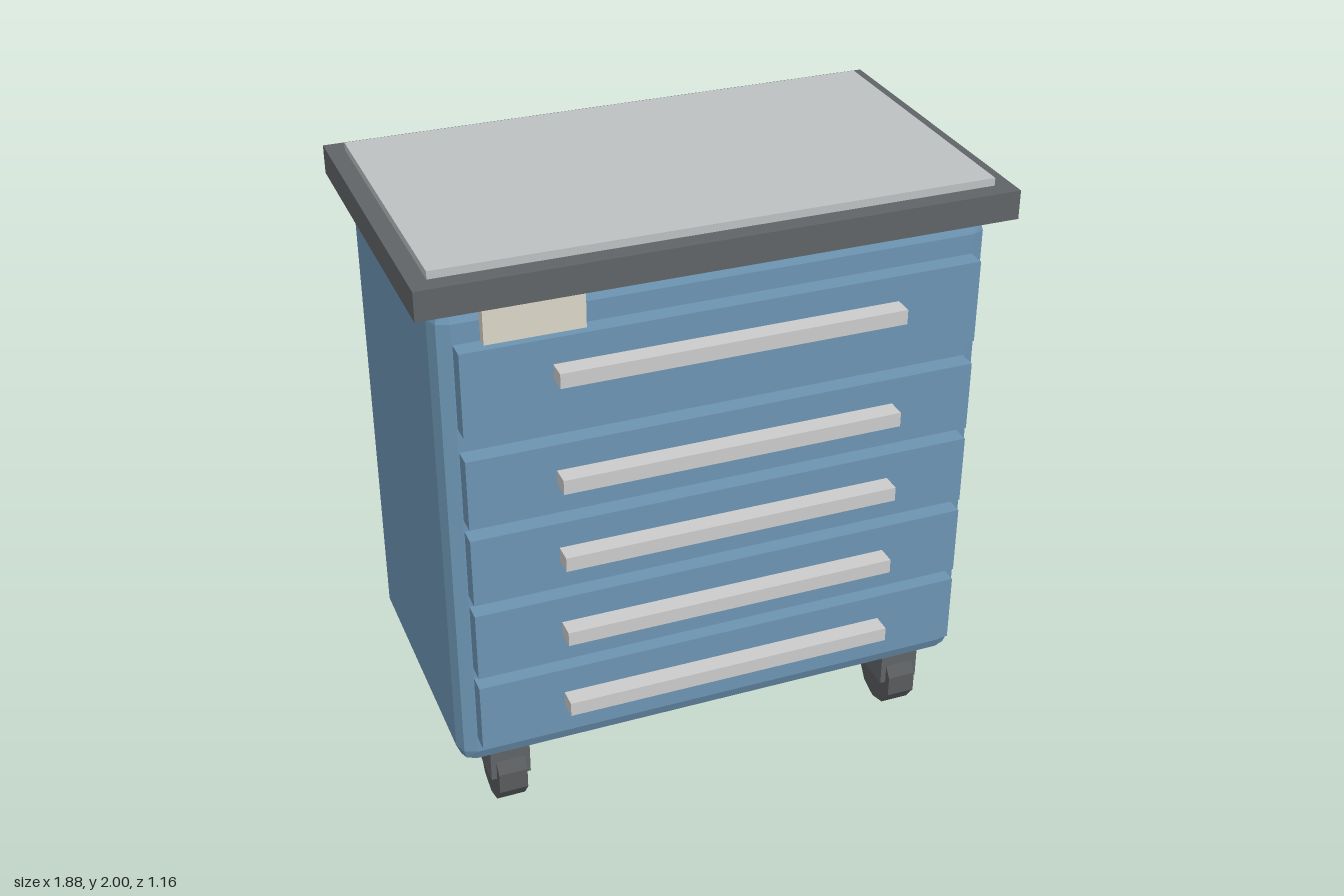
import * as THREE from 'three';
import { RoundedBoxGeometry } from 'three/addons/geometries/RoundedBoxGeometry.js';

const material = (color) => new THREE.MeshStandardMaterial({ color, flatShading: true });

export function createModel() {
  const model = new THREE.Group();
  model.name = 'toolCabinet';

  const blue = material(0x6c94b2);
  const grey = material(0xcccccc);
  const matGrey = material(0xbcc0c2);
  const dark = material(0x606467);
  const rubber = material(0x585a5c);
  const cream = material(0xdad5c8);

  // Adds a mesh to a parent under a plain name
  const add = (parent, name, geometry, mat, x, y, z) => {
    const mesh = new THREE.Mesh(geometry, mat);
    mesh.name = name;
    mesh.position.set(x, y, z);
    parent.add(mesh);
    return mesh;
  };
  // Box given by its limits on each axis
  const box = (parent, name, mat, [x0, x1], [y0, y1], [z0, z1]) =>
    add(parent, name, new THREE.BoxGeometry(x1 - x0, y1 - y0, z1 - z0), mat,
      (x0 + x1) / 2, (y0 + y1) / 2, (z0 + z1) / 2);

  const midX = -0.008, midZ = -0.029;

  // Cabinet body with bevelled edges
  add(model, 'body', new RoundedBoxGeometry(1.755, 1.64, 0.973, 1, 0.055), blue, midX, 1.06, midZ);

  // Worktop and the thin mat lying on it
  box(model, 'worktop', dark, [-0.943, 0.927], [1.882, 1.975], [-0.579, 0.517]);
  box(model, 'worktopMat', matGrey, [-0.887, 0.871], [1.975, 2], [-0.517, 0.457]);

  // Drawers, each with a bar handle
  const drawers = [[0.352, 0.588], [0.628, 0.862], [0.903, 1.135], [1.175, 1.408], [1.488, 1.76]];
  const handleHeights = [0.475, 0.748, 1.024, 1.297, 1.652];
  drawers.forEach((range, i) => {
    const drawer = new THREE.Group();
    drawer.name = 'drawer';
    box(drawer, 'drawerFront', blue, [-0.827, 0.812], range, [0.45, 0.517]);
    const y = handleHeights[i];
    box(drawer, 'drawerHandle', grey, [-0.553, 0.54], [y - 0.024, y + 0.024], [0.517, 0.579]);
    model.add(drawer);
  });

  // Label plate under the worktop and the push handle on the side
  box(model, 'labelPlate', cream, [-0.746, -0.441], [1.76, 1.882], [0.45, 0.49]);
  box(model, 'sideHandle', grey, [0.86, 0.937], [0.825, 1.488], [-0.127, 0.069]);

  // Four casters: a block housing with a ten-sided wheel
  const wheel = new THREE.CylinderGeometry(0.117, 0.117, 0.096, 10, 1, false, Math.PI / 2).rotateZ(Math.PI / 2);
  const housing = new THREE.BoxGeometry(0.133, 0.12, 0.17);
  for (const sx of [-1, 1]) {
    for (const sz of [-1, 1]) {
      const caster = new THREE.Group();
      caster.name = 'caster';
      caster.position.set(midX + sx * 0.703, 0, midZ + sz * 0.353);
      add(caster, 'casterHousing', housing, dark, 0, 0.182, 0);
      add(caster, 'casterWheel', wheel, rubber, 0, 0.118, 0);
      model.add(caster);
    }
  }

  return model;
}
